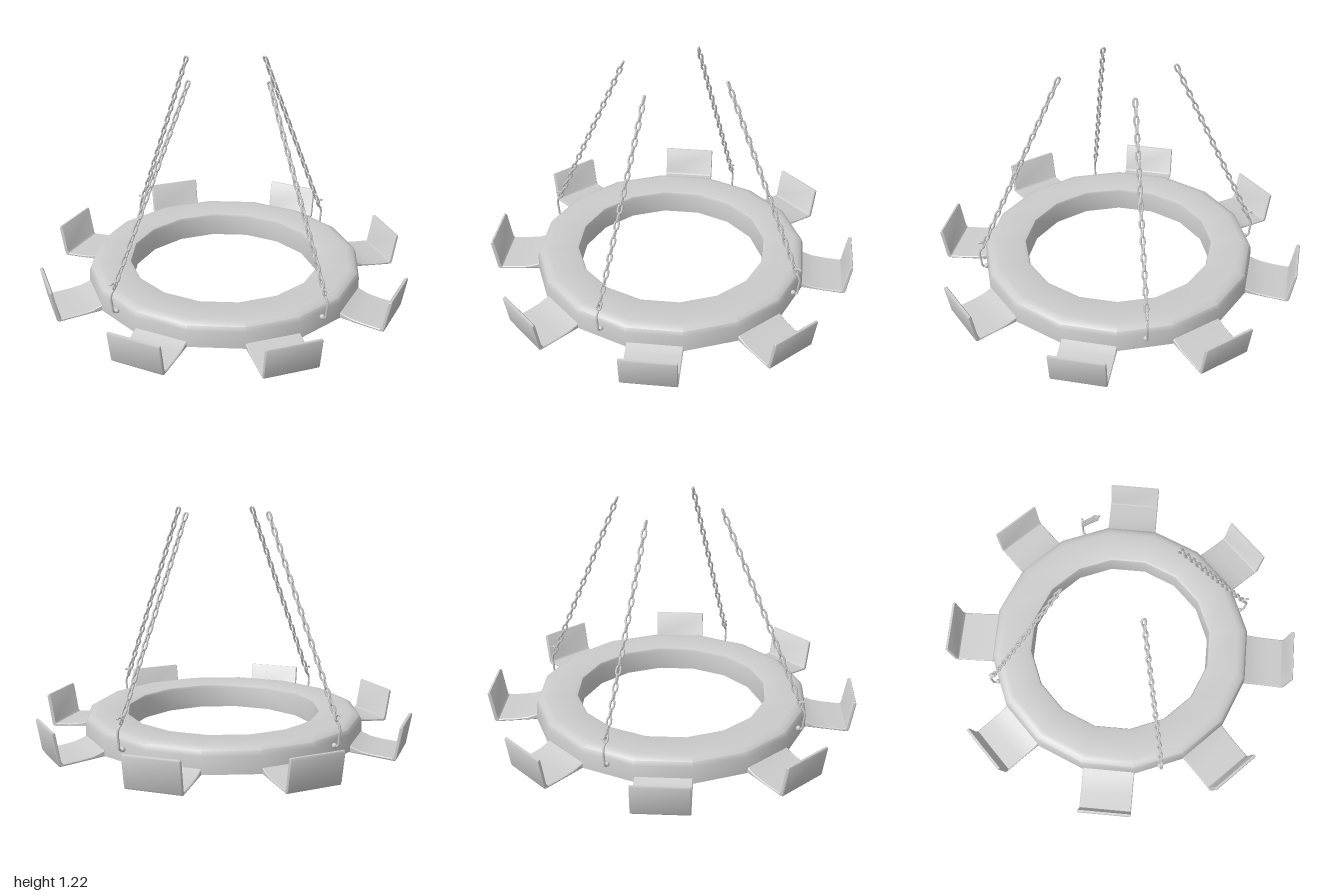
import * as THREE from 'three';
import { mergeGeometries, toCreasedNormals } from 'three/addons/utils/BufferGeometryUtils.js';

const material = new THREE.MeshStandardMaterial({ color: 0xcccccc, side: THREE.DoubleSide });
const rad = THREE.MathUtils.degToRad;
const points = (list) => list.map(([x, y]) => new THREE.Vector2(x, y));

function addMesh(parent, geometry, name) {
  const mesh = new THREE.Mesh(geometry, material);
  mesh.name = name;
  parent.add(mesh);
  return mesh;
}

// Sixteen-sided ring with softened upper edges
function ringGeometry() {
  const profile = points([
    [0.51, 0.025], [0.74, 0.025], [0.738, 0.115], [0.728, 0.14], [0.705, 0.154],
    [0.68, 0.158], [0.53, 0.158], [0.515, 0.153], [0.51, 0.14], [0.51, 0.025],
  ]);
  return toCreasedNormals(new THREE.LatheGeometry(profile, 16), 0.7);
}

// Bent bracket: sloping floor and an upright lip that leans outward
function bracketGeometry() {
  const width = 0.289, bevel = 0.004;
  const shape = new THREE.Shape(points([
    [0.70, 0.025], [0.948, 0], [0.957, 0.003], [0.962, 0.012], [0.99, 0.168],
    [0.987, 0.176], [0.977, 0.177], [0.971, 0.17], [0.945, 0.024], [0.937, 0.015],
    [0.85, 0.022], [0.78, 0.033], [0.74, 0.048], [0.70, 0.065],
  ]));
  const geometry = new THREE.ExtrudeGeometry(shape, {
    depth: width - 2 * bevel, bevelEnabled: true, bevelThickness: bevel,
    bevelSize: bevel, bevelOffset: -bevel, bevelSegments: 1,
  });
  geometry.translate(0, 0, -width / 2 + bevel);
  return toCreasedNormals(geometry, 0.6);
}

// Oval chain link standing along y
function linkGeometry(length, width, wire) {
  const r = width / 2 - wire, h = length / 2 - wire - r;
  const path = [];
  for (let i = 0; i < 10; i++) {
    const a = (i % 5) * Math.PI / 4 + (i < 5 ? 0 : Math.PI);
    path.push(new THREE.Vector3(r * Math.cos(a), r * Math.sin(a) + (i < 5 ? h : -h), 0));
  }
  const curve = new THREE.CatmullRomCurve3(path, true);
  return new THREE.TubeGeometry(curve, 18, wire, 6, true);
}

// Chain of links, each turned a quarter against the one before
function chainGeometry(start, end) {
  const count = 26, length = 0.054;
  const link = linkGeometry(length, 0.03, 0.0055);
  const dir = end.clone().sub(start).normalize();
  const from = start.clone().addScaledVector(dir, length / 2);
  const to = end.clone().addScaledVector(dir, -length / 2);
  const lean = new THREE.Quaternion().setFromUnitVectors(new THREE.Vector3(0, 1, 0), dir);
  const links = [];
  for (let i = 0; i < count; i++) {
    const roll = new THREE.Quaternion().setFromAxisAngle(
      new THREE.Vector3(0, 1, 0), (i % 2) * Math.PI / 2 + Math.PI / 4);
    const g = link.clone().applyQuaternion(lean.clone().multiply(roll));
    const p = from.clone().lerp(to, i / (count - 1));
    links.push(g.translate(p.x, p.y, p.z));
  }
  return mergeGeometries(links);
}

// Wire hook on the outside of the rim, curled over at the top
function hookGeometry() {
  const path = [
    [0.768, 0.248], [0.752, 0.254], [0.738, 0.243], [0.738, 0.224], [0.756, 0.205],
    [0.764, 0.18], [0.759, 0.13], [0.756, 0.1], [0.745, 0.09], [0.725, 0.092],
  ].map(([x, y]) => new THREE.Vector3(x, y, 0));
  return new THREE.TubeGeometry(new THREE.CatmullRomCurve3(path), 36, 0.006, 6);
}

export function createModel() {
  const model = new THREE.Group();
  model.name = 'hangingRing';

  addMesh(model, ringGeometry(), 'ring');

  // Eight brackets on every second side of the ring
  const bracket = bracketGeometry();
  for (let i = 0; i < 8; i++) {
    addMesh(model, bracket, 'bracket').rotation.y = rad(11.25 + 45 * i);
  }

  // Four hooks with rim studs, and the chains rising inward from them
  const hook = hookGeometry();
  const stud = new THREE.SphereGeometry(0.014, 10, 8);
  const tips = [[0.235, -0.185], [-0.168, -0.24], [-0.2, 0.17], [0.183, 0.237]];
  tips.forEach(([x, z], i) => {
    const angle = rad(33.75 + 90 * i);
    const mount = new THREE.Group();
    mount.name = 'hookMount';
    mount.rotation.y = angle;
    addMesh(mount, hook, 'hook');
    addMesh(mount, stud, 'stud').position.set(0.733, 0.092, 0);
    model.add(mount);

    const start = new THREE.Vector3(0.748 * Math.cos(angle), 0.215, -0.748 * Math.sin(angle));
    addMesh(model, chainGeometry(start, new THREE.Vector3(x, 1.22, z)), 'chain');
  });

  return model;
}
